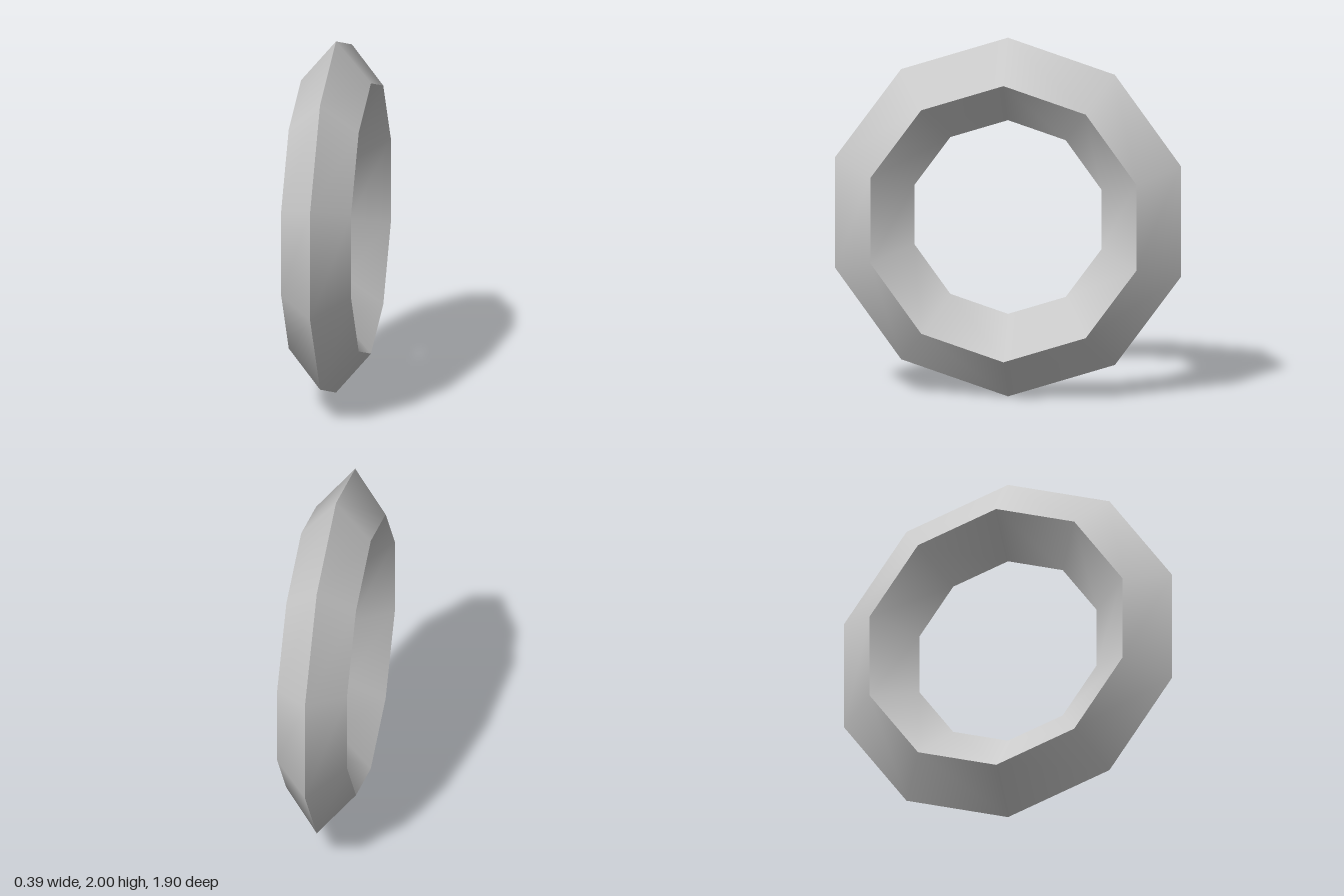
import * as THREE from 'three';
import { mergeGeometries } from 'three/addons/utils/BufferGeometryUtils.js';

const SIDES = 10;

// Diamond cross-section as (radius, offset along the axis), counterclockwise
const SECTION = [[0.54, 0], [0.77, -0.193], [1, 0], [0.77, 0.193]];

export function createModel() {
  const model = new THREE.Group();
  model.name = 'ringModel';

  // One lathed band per section edge: smooth around the ring, sharp between bands
  const bands = SECTION.map((from, i) => {
    const to = SECTION[(i + 1) % SECTION.length];
    const profile = [new THREE.Vector2(...from), new THREE.Vector2(...to)];
    return new THREE.LatheGeometry(profile, SIDES, Math.PI / 2);
  });

  // Stand the ring upright with its axis along x
  const geometry = mergeGeometries(bands);
  geometry.rotateZ(-Math.PI / 2);
  geometry.translate(0, 1, 0);

  const ring = new THREE.Mesh(geometry, new THREE.MeshStandardMaterial({ color: 0xcccccc }));
  ring.name = 'ring';
  model.add(ring);
  return model;
}
